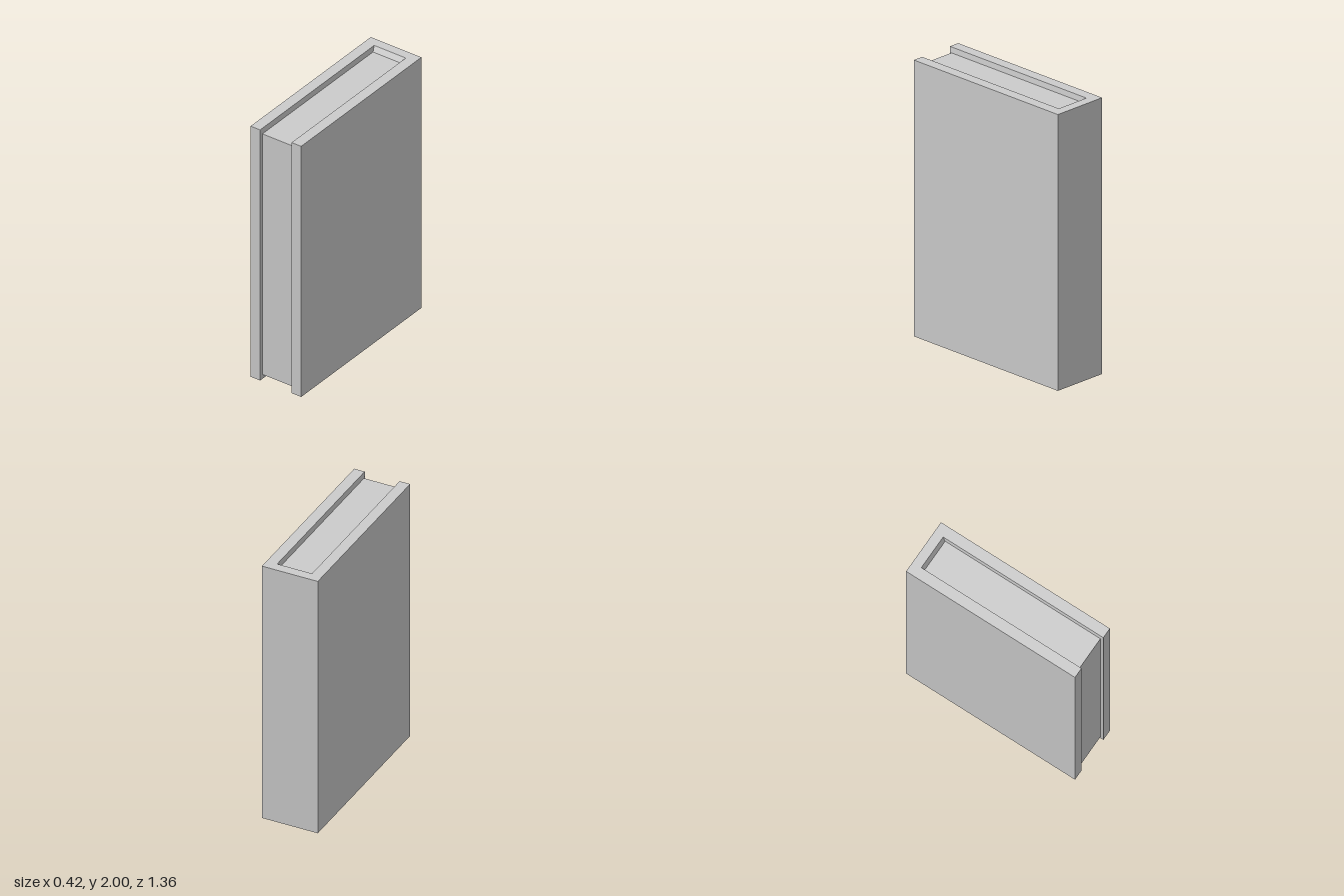
import * as THREE from 'three';

const W = 0.21, D = 0.68;                                // cover half width and half depth
const MOUTH = 0.131, BACK = -0.61;                       // opening at the cover's edges
const PAGE_X = 0.126, PAGE_BACK = -0.59, PAGE_FRONT = 0.66; // opening where it meets the pages
const LEVELS = [0, 0.04, 1.96, 2];                       // heights of the cover's cross-sections

function coverGeometry() {
  // U-shaped section seen from above, as [x, z]
  const section = [
    [-W, D], [-W, -D], [W, -D], [W, D],
    [MOUTH, D], [PAGE_X, PAGE_FRONT], [PAGE_X, PAGE_BACK],
    [-PAGE_X, PAGE_BACK], [-PAGE_X, PAGE_FRONT], [-MOUTH, D],
  ];
  const shape = new THREE.Shape(section.map(([x, z]) => new THREE.Vector2(x, -z)));
  const geo = new THREE.ExtrudeGeometry(shape, { depth: 3, steps: 3, bevelEnabled: false });
  geo.rotateX(-Math.PI / 2);

  // Set the heights and flare the inner walls outward at the top and bottom edges
  const p = geo.attributes.position;
  for (let i = 0; i < p.count; i++) {
    const level = Math.round(p.getY(i));
    const x = p.getX(i), z = p.getZ(i);
    p.setY(i, LEVELS[level]);
    if ((level === 0 || level === 3) && Math.abs(x) < MOUTH - 0.001) {
      p.setX(i, Math.sign(x) * MOUTH);
      p.setZ(i, z > 0 ? D : BACK);
    }
  }
  geo.computeVertexNormals();
  return geo;
}

export function createModel() {
  const group = new THREE.Group();
  group.name = 'book';
  const material = new THREE.MeshStandardMaterial({ color: 0xcccccc, flatShading: true });

  // Two boards and the spine
  const cover = new THREE.Mesh(coverGeometry(), material);
  cover.name = 'cover';

  // Block of pages, recessed on its three open sides
  const pages = new THREE.Mesh(
    new THREE.BoxGeometry(PAGE_X * 2, LEVELS[2] - LEVELS[1], PAGE_FRONT - PAGE_BACK), material);
  pages.position.set(0, 1, (PAGE_FRONT + PAGE_BACK) / 2);
  pages.name = 'pages';

  group.add(cover, pages);
  return group;
}
